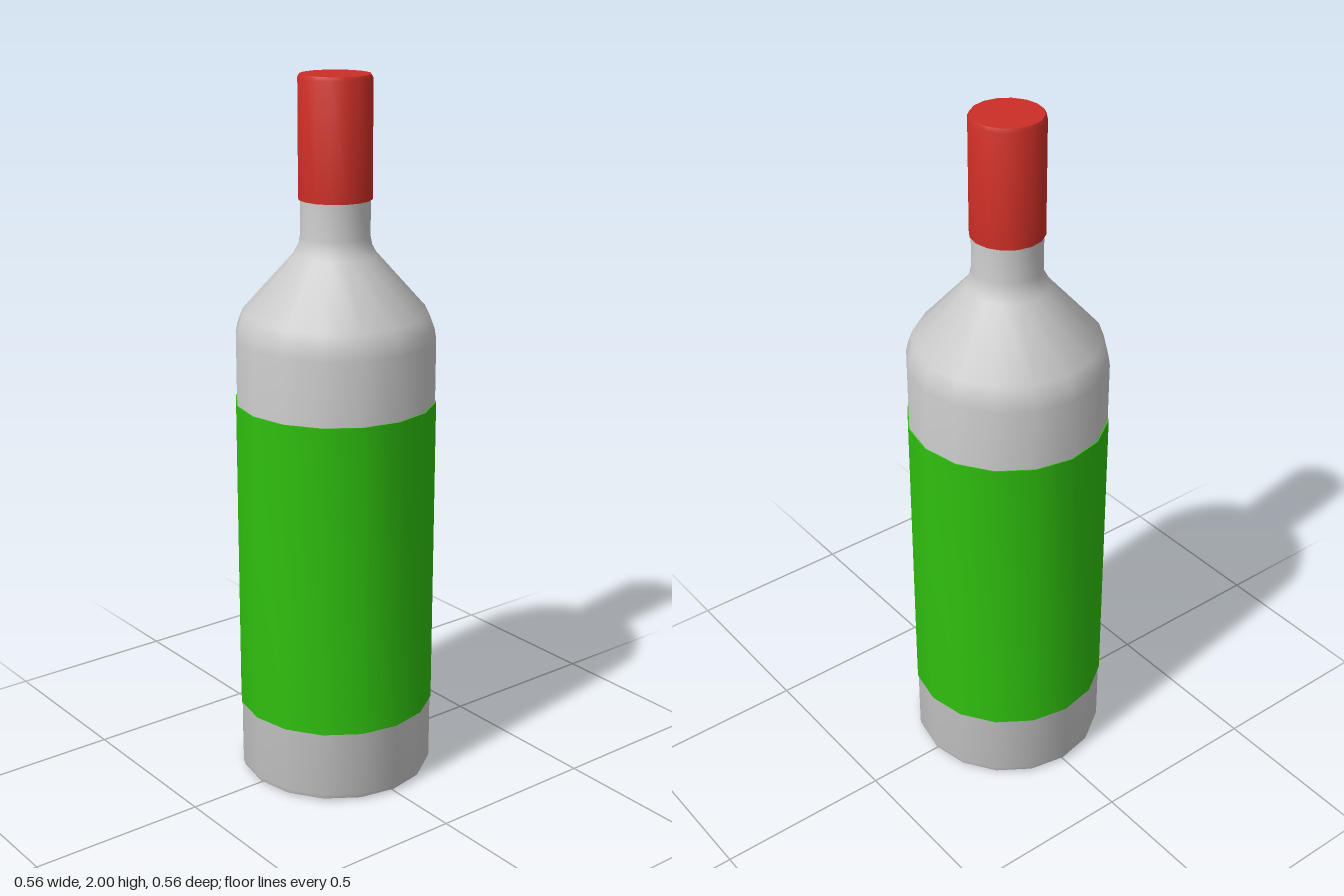
import * as THREE from 'three';
import { toCreasedNormals } from 'three/addons/utils/BufferGeometryUtils.js';

const SIDES = 16;

// Turns a [radius, height] profile, listed from bottom to top, into a smooth round part
function turned(name, color, profile) {
  const points = profile.map(([r, y]) => new THREE.Vector2(r, y));
  const geometry = toCreasedNormals(new THREE.LatheGeometry(points, SIDES), 0.7);
  const mesh = new THREE.Mesh(geometry, new THREE.MeshStandardMaterial({ color }));
  mesh.name = name;
  return mesh;
}

export function createModel() {
  const group = new THREE.Group();
  group.name = 'bottle';

  // Glass: bevelled base, straight body, sloping shoulder, slim neck
  group.add(turned('glassBody', 0xcccccc, [
    [0, 0], [0.262, 0], [0.273, 0.006], [0.278, 0.02],
    [0.278, 1.29], [0.273, 1.32], [0.258, 1.36],
    [0.115, 1.52], [0.101, 1.545], [0.096, 1.57],
    [0.096, 1.7],
  ]));

  // Label band wrapped around the body
  group.add(turned('label', 0x2fbf0f, [
    [0.276, 0.21], [0.281, 0.21], [0.281, 1.11], [0.276, 1.11],
  ]));

  // Foil cap over the top of the neck
  group.add(turned('cap', 0xcc2e26, [
    [0.094, 1.67], [0.101, 1.67], [0.101, 1.99], [0.096, 2], [0, 2],
  ]));

  return group;
}
